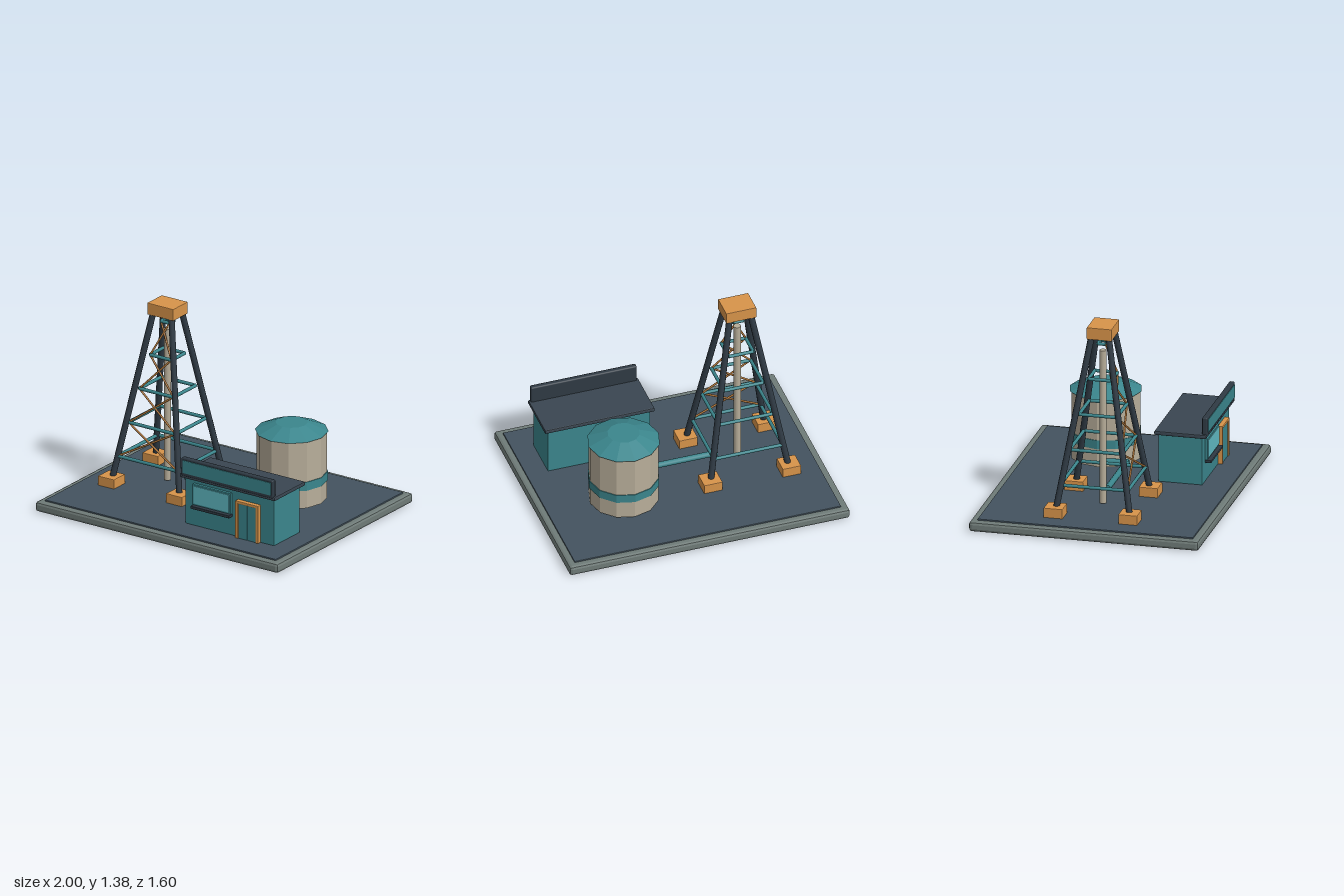
import * as THREE from 'three';
import { RoundedBoxGeometry } from 'three/addons/geometries/RoundedBoxGeometry.js';

const mat = (color, flatShading = false) => {
  const m = new THREE.MeshStandardMaterial({ flatShading });
  m.color.set(color);
  return m;
};

export function createModel() {
  const slate = mat(0x43535f, true), dark = mat(0x2f3a44), roofDark = mat(0x3a4651, true);
  const stone = mat(0x6f7b78, true), teal = mat(0x3b868d), tealFlat = mat(0x3b868d, true);
  const orange = mat(0xd8944a, true), brace = mat(0xb57a3c), beige = mat(0xb8ae9a);
  const beigeFlat = mat(0xb8ae9a, true), glass = mat(0x5fb9c3, true);

  const model = new THREE.Group();
  model.name = 'drillingSite';

  const group = (name) => {
    const g = new THREE.Group();
    g.name = name;
    model.add(g);
    return g;
  };
  // Chamfered box given by its min and max on each axis
  const box = (parent, name, [x0, x1], [y0, y1], [z0, z1], material, bevel = 0.005) => {
    const geo = new RoundedBoxGeometry(x1 - x0, y1 - y0, z1 - z0, 1, bevel);
    const mesh = new THREE.Mesh(geo, material);
    mesh.name = name;
    mesh.position.set((x0 + x1) / 2, (y0 + y1) / 2, (z0 + z1) / 2);
    parent.add(mesh);
    return mesh;
  };
  // Round rod between two points
  const rod = (parent, name, a, b, r, material, sides = 10) => {
    const p = new THREE.Vector3(...a), q = new THREE.Vector3(...b);
    const mesh = new THREE.Mesh(new THREE.CylinderGeometry(r, r, p.distanceTo(q), sides), material);
    mesh.name = name;
    mesh.position.copy(p).lerp(q, 0.5);
    mesh.quaternion.setFromUnitVectors(new THREE.Vector3(0, 1, 0), q.sub(p).normalize());
    parent.add(mesh);
    return mesh;
  };
  const drum = (parent, name, rTop, rBottom, y0, y1, material) => {
    const mesh = new THREE.Mesh(new THREE.CylinderGeometry(rTop, rBottom, y1 - y0, 12), material);
    mesh.name = name;
    mesh.position.y = (y0 + y1) / 2;
    parent.add(mesh);
  };

  // Ground
  const ground = group('ground');
  box(ground, 'basePlinth', [-1, 1], [0, 0.07], [-0.8, 0.8], stone, 0.02);
  box(ground, 'yardSlab', [-0.95, 0.95], [0.05, 0.08], [-0.75, 0.75], slate, 0.004);

  // Derrick
  const tower = group('derrick');
  tower.position.x = -0.465;
  for (const sx of [-1, 1]) for (const sz of [-1, 1]) {
    const x = 0.28 * sx, z = 0.26 * sz;
    box(tower, 'footing', [x - 0.066, x + 0.066], [0.075, 0.147], [z - 0.066, z + 0.066], orange);
    rod(tower, 'leg', [x, 0.1, z], [0.075 * sx, 1.31, 0.06 * sz], 0.022, dark);
  }
  box(tower, 'crownBlock', [-0.108, 0.108], [1.295, 1.38], [-0.087, 0.087], orange);

  // Horizontal rings, each a square of four bars, with crossed braces on the front
  const level = (i) => ({ y: 0.285 + 0.24 * i, x: 0.245 - 0.0525 * i, z: 0.235 - 0.052 * i });
  for (let i = 0; i < 5; i++) {
    const { y, x, z } = level(i);
    for (const s of [-1, 1]) {
      rod(tower, 'ringBar', [-x, y, z * s], [x, y, z * s], 0.012, teal);
      rod(tower, 'ringBar', [x * s, y, -z], [x * s, y, z], 0.012, teal);
      if (i < 4) {
        const n = level(i + 1);
        rod(tower, 'crossBrace', [x * s, y, z], [-n.x * s, n.y, n.z], 0.007, brace, 8);
      }
    }
  }
  rod(tower, 'drillPipe', [0, 0.095, 0], [0, 1.19, 0], 0.025, beige, 12);

  // Storage tank
  const tank = group('storageTank');
  tank.position.set(0.415, 0, -0.205);
  drum(tank, 'tankBody', 0.24, 0.24, 0.105, 0.587, beigeFlat);
  drum(tank, 'tankBand', 0.245, 0.245, 0.233, 0.295, tealFlat);
  drum(tank, 'tankRoof', 0.11, 0.249, 0.585, 0.645, tealFlat);

  // Pipeline from derrick to tank
  const pipeline = group('pipeline');
  rod(pipeline, 'pipeRun', [-0.32, 0.145, -0.005], [0.215, 0.145, -0.005], 0.021, teal);
  rod(pipeline, 'pipeElbow', [0.197, 0.145, 0.012], [0.197, 0.145, -0.19], 0.021, teal);

  // Office building
  const office = group('office');
  box(office, 'walls', [0.07, 0.8], [0.078, 0.425], [0.25, 0.555], tealFlat);
  box(office, 'roof', [0.045, 0.828], [0.418, 0.447], [0.225, 0.588], roofDark, 0.008);
  box(office, 'signBoard', [0.06, 0.815], [0.435, 0.567], [0.555, 0.593], dark, 0.01);
  box(office, 'signPanel', [0.075, 0.8], [0.457, 0.55], [0.585, 0.597], tealFlat, 0.002);

  // Window
  box(office, 'windowFrame', [0.14, 0.455], [0.235, 0.387], [0.55, 0.574], tealFlat);
  box(office, 'windowPane', [0.152, 0.443], [0.247, 0.375], [0.56, 0.579], glass, 0.002);
  box(office, 'windowSill', [0.14, 0.46], [0.214, 0.235], [0.55, 0.6], dark);

  // Double door with frame
  for (const x of [0.5, 0.668]) {
    box(office, 'doorJamb', [x, x + 0.022], [0.079, 0.352], [0.55, 0.587], orange);
  }
  box(office, 'doorLintel', [0.5, 0.69], [0.332, 0.352], [0.55, 0.587], orange);
  for (const x of [0.522, 0.596]) {
    box(office, 'doorLeaf', [x, x + 0.072], [0.08, 0.333], [0.55, 0.58], tealFlat, 0.003);
  }

  return model;
}
